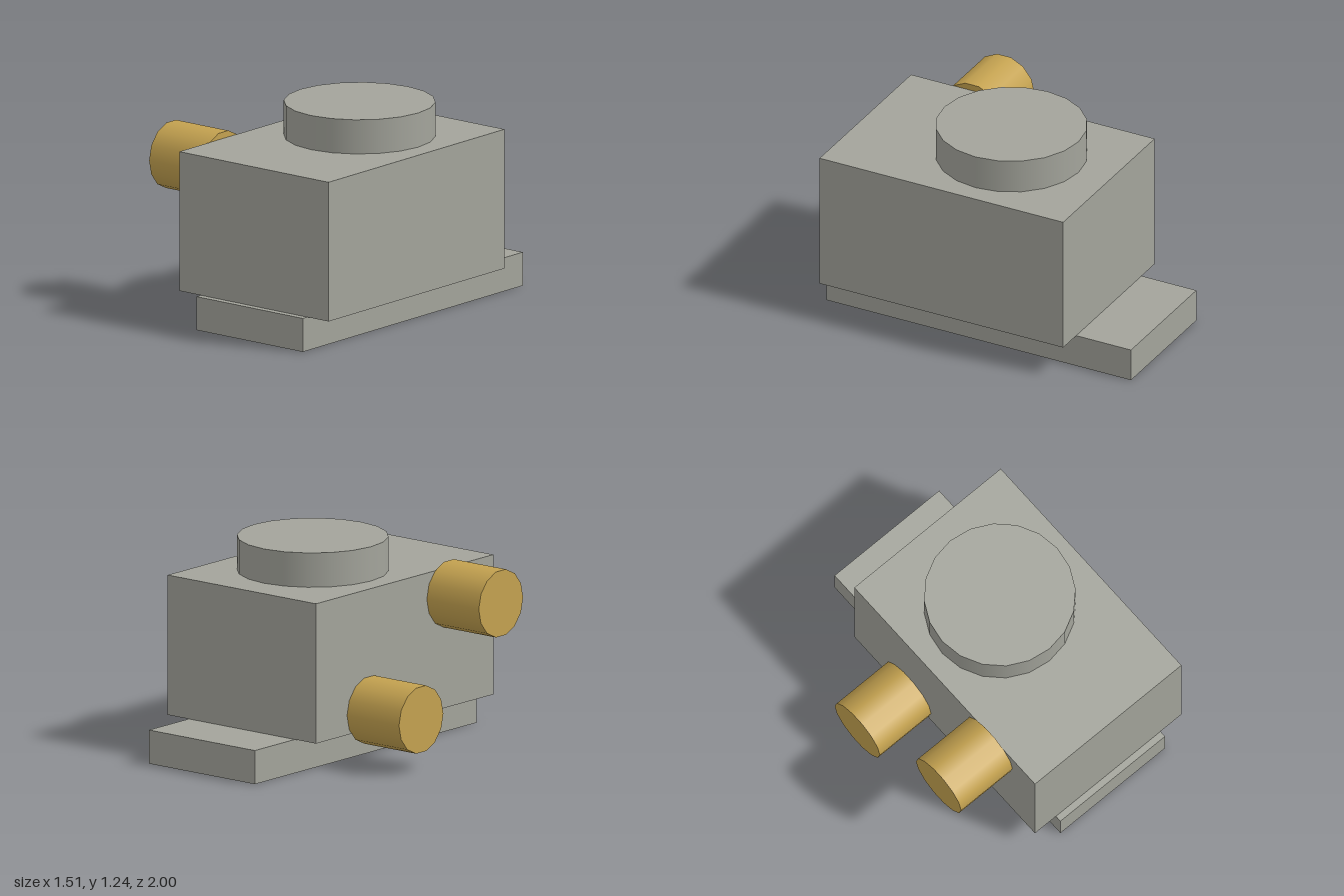
import * as THREE from 'three';

const grey = new THREE.MeshStandardMaterial({ color: 0xa3a49b });
const brass = new THREE.MeshStandardMaterial({ color: 0xc4a250 });

export function createModel() {
  const model = new THREE.Group();
  model.name = 'valveBlock';

  const add = (name, geometry, material, x, y, z) => {
    const mesh = new THREE.Mesh(geometry, material);
    mesh.name = name;
    mesh.position.set(x, y, z);
    model.add(mesh);
    return mesh;
  };

  // Long mounting foot under the housing
  add('basePlate', new THREE.BoxGeometry(0.8, 0.2, 2), grey, 0.195, 0.1, 0);

  // Main housing, set forward of the foot's centre
  add('housing', new THREE.BoxGeometry(1.12, 0.832, 1.6), grey, 0.195, 0.616, 0.16);

  // Round cap on top
  add('topCap', new THREE.CylinderGeometry(0.44, 0.44, 0.204, 20), grey, 0.195, 1.134, 0);

  // Two pipe stubs on the right side: upper at the front, lower at the back
  const pipe = new THREE.CylinderGeometry(0.2, 0.2, 0.392, 14).rotateZ(Math.PI / 2);
  add('upperPipe', pipe, brass, -0.561, 0.875, 0.56);
  add('lowerPipe', pipe, brass, -0.561, 0.315, -0.16);

  return model;
}
